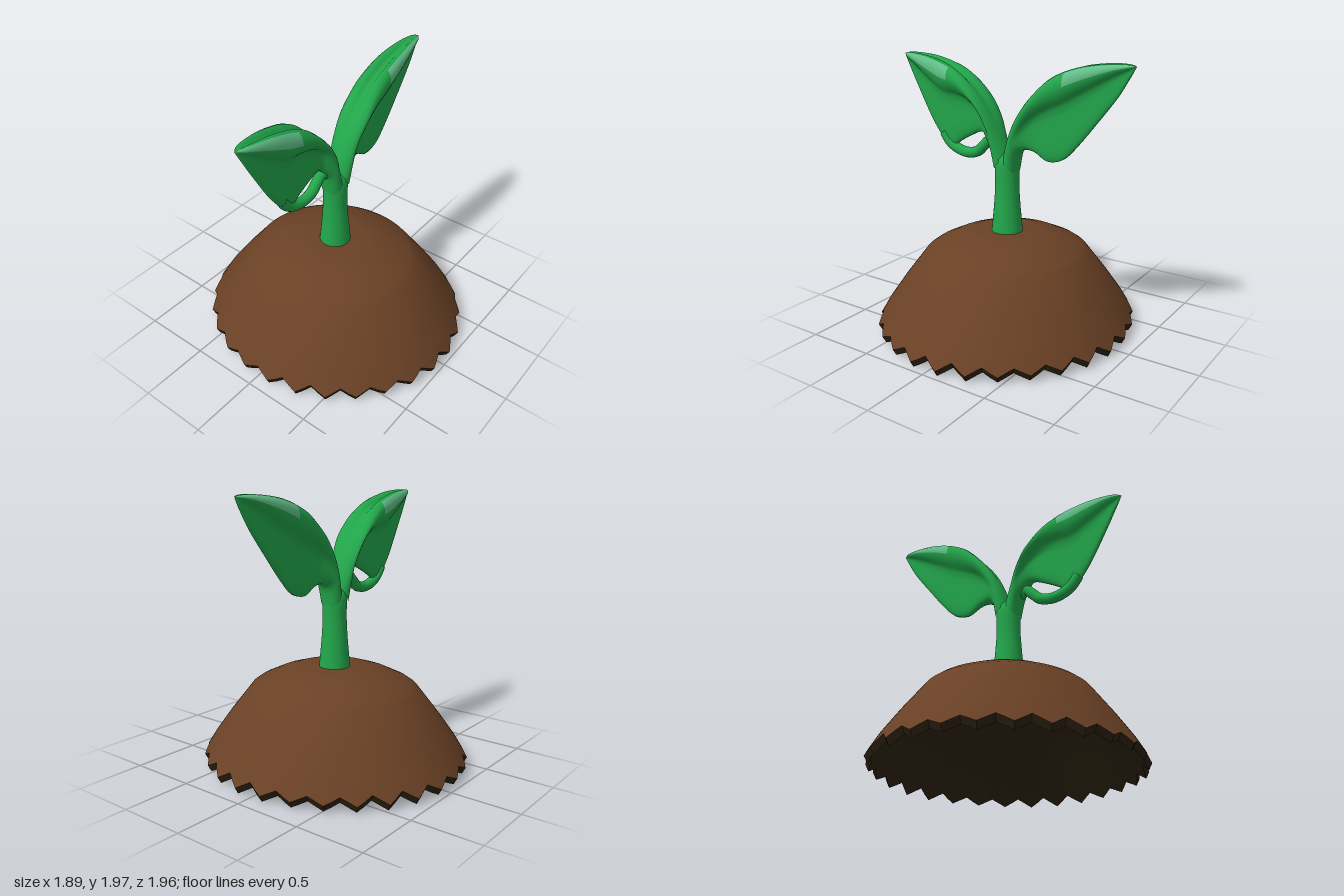
import * as THREE from 'three';
import { toCreasedNormals } from 'three/addons/utils/BufferGeometryUtils.js';

const material = (name, color, extra = {}) => new THREE.MeshStandardMaterial({ name, color, ...extra });

function part(name, geometry, mat) {
  const mesh = new THREE.Mesh(geometry, mat);
  mesh.name = name;
  return mesh;
}

// Half cross-section of a leaf: [half width, depth below the top edge].
// A grooved pair of lips above, a thin blade below.
const HALF = [[0, 0.09], [0.45, 0], [0.9, 0.06], [1, 0.17], [0.75, 0.29],
  [0.36, 0.38], [0.3, 0.6], [0.28, 0.85], [0.17, 0.98], [0, 1]];

// Closed loop of blended round / leaf sections, k = 0 round, k = 1 leaf
function section(k) {
  const half = HALF.map(([z, v], i) => {
    const a = Math.PI * i / (HALF.length - 1);
    return new THREE.Vector3(
      THREE.MathUtils.lerp(Math.sin(a), z, k),
      THREE.MathUtils.lerp((1 - Math.cos(a)) / 2, v, k), 0);
  });
  const other = half.slice(1, -1).reverse().map(p => new THREE.Vector3(-p.x, p.y, 0));
  return new THREE.CatmullRomCurve3([...half, ...other], true, 'catmullrom', 0.5);
}

// Leaf lofted between a top edge [x, y, halfWidth] and a bottom edge [x, y, k]
function leafGeometry(top, bottom, side) {
  const curve = pts => new THREE.CatmullRomCurve3(
    pts.map(p => new THREE.Vector3(...p)), false, 'catmullrom', 0.5);
  const T = curve(top), B = curve(bottom);
  const rows = 44, cols = 36, positions = [], plain = [], pale = [];
  for (let i = 0; i <= rows; i++) {
    const t = T.getPoint(i / rows), b = B.getPoint(i / rows);
    const loop = section(THREE.MathUtils.clamp(b.z, 0, 1));
    for (let j = 0; j < cols; j++) {
      const p = loop.getPoint(j / cols);
      positions.push(
        side * THREE.MathUtils.lerp(t.x, b.x, p.y),
        THREE.MathUtils.lerp(t.y, b.y, p.y),
        p.x * Math.max(t.z, 0));
    }
  }
  for (let i = 0; i < rows; i++) {
    for (let j = 0; j < cols; j++) {
      const n = (j + 1) % cols;
      const a = i * cols + j, b = a + cols, c = i * cols + n, d = c + cols;
      // The outer lips turn pale towards the tip
      const m = Math.min(j, cols - 1 - j);
      const isPale = i / rows > 0.96 || (i / rows > 0.52 && m >= 3 && m < 6);
      const list = isPale ? pale : plain;
      if (side > 0) list.push(a, c, b, b, c, d);
      else list.push(a, b, c, b, d, c);
    }
  }
  const g = new THREE.BufferGeometry();
  g.setAttribute('position', new THREE.Float32BufferAttribute(positions, 3));
  g.setIndex([...plain, ...pale]);
  g.addGroup(0, plain.length, 0);
  g.addGroup(plain.length, pale.length, 1);
  g.computeVertexNormals();
  return g;
}

// Lathe with an oval plan, whose lowest edges are cut into teeth
function moundGeometry(profile) {
  const TEETH = 28;
  const g = new THREE.LatheGeometry(profile.map(p => new THREE.Vector2(...p)), TEETH * 4);
  const pos = g.attributes.position;
  for (let i = 0; i < pos.count; i++) {
    let x = pos.getX(i), y = pos.getY(i), z = pos.getZ(i);
    if (y < 0.1) {
      const a = Math.atan2(x, z);
      const tooth = -Math.cos(TEETH * a) * (0.85 + 0.15 * Math.sin(5 * a + 1));
      const r = Math.hypot(x, z), k = (r + 0.02 * tooth) / r;
      x *= k;
      z *= k;
      y -= 0.032 * tooth;
    }
    pos.setXYZ(i, x * 0.94, y, z);
  }
  return toCreasedNormals(g, 0.45);
}

export function createModel() {
  const model = new THREE.Group();
  model.name = 'seedling';
  const green = material('leaf green', 0x22a64b);
  const pale = material('pale green', 0x62bf88);
  const soil = material('soil brown', 0x6a4125);
  const dark = material('dark soil', 0x2c2110, { side: THREE.DoubleSide });

  // Soil mound: outer skin, then the dark inside with its rim
  const mound = new THREE.Group();
  mound.name = 'mound';
  mound.position.x = -0.01;
  mound.add(
    part('moundSkin', moundGeometry([[0.97, 0.082], [0.91, 0.18], [0.79, 0.345], [0.62, 0.56],
      [0.57, 0.595], [0.43, 0.66], [0.3, 0.702], [0.22, 0.71], [0, 0.71]]), soil),
    part('moundInside', moundGeometry([[0, 0.66], [0.28, 0.65], [0.42, 0.61], [0.58, 0.52],
      [0.75, 0.3], [0.87, 0.14], [0.945, 0.036], [0.97, 0.082]]), dark));
  model.add(mound);

  // Stem, flared at the soil and closed in the fork
  const stem = part('stem', new THREE.LatheGeometry([[0.114, 0.69], [0.108, 0.76], [0.095, 0.9],
    [0.087, 1.02], [0.086, 1.12], [0.09, 1.2], [0.08, 1.25], [0.045, 1.29], [0, 1.31]]
    .map(p => new THREE.Vector2(...p)), 32), green);
  stem.position.x = -0.01;
  model.add(stem);

  // Left leaf
  const leftTop = [[-0.02, 1.27, 0.085], [0.03, 1.42, 0.1], [0.1, 1.56, 0.11], [0.2, 1.69, 0.115],
    [0.33, 1.82, 0.11], [0.45, 1.89, 0.105], [0.58, 1.935, 0.098], [0.7, 1.958, 0.083],
    [0.82, 1.97, 0.06], [0.91, 1.97, 0.035], [0.955, 1.96, 0]];
  const leftBottom = [[0.075, 1.15, 0], [0.1, 1.29, 0.1], [0.16, 1.33, 0.5], [0.23, 1.32, 0.9],
    [0.33, 1.27, 1], [0.45, 1.3, 1], [0.56, 1.41, 1], [0.69, 1.57, 1],
    [0.83, 1.75, 1], [0.91, 1.88, 0.8], [0.955, 1.96, 0.5]];
  model.add(part('leftLeaf', leafGeometry(leftTop, leftBottom, 1), [green, pale]));

  // Right leaf, its lower edge rising over the gap
  const rightTop = [[0, 1.27, 0.085], [0.06, 1.42, 0.1], [0.12, 1.54, 0.12], [0.21, 1.67, 0.125],
    [0.33, 1.79, 0.122], [0.44, 1.86, 0.115], [0.55, 1.9, 0.102], [0.68, 1.927, 0.085],
    [0.81, 1.937, 0.06], [0.89, 1.937, 0.035], [0.932, 1.925, 0]];
  const rightBottom = [[0.095, 1.15, 0], [0.12, 1.29, 0.1], [0.165, 1.37, 0.5], [0.215, 1.415, 0.9],
    [0.31, 1.38, 1], [0.42, 1.32, 1], [0.51, 1.265, 1], [0.65, 1.42, 1],
    [0.79, 1.66, 1], [0.87, 1.81, 0.8], [0.932, 1.925, 0.5]];
  model.add(part('rightLeaf', leafGeometry(rightTop, rightBottom, -1), [green, pale]));

  // Curled lower rim that closes the gap in the right leaf
  const rim = new THREE.CatmullRomCurve3([[-0.57, 1.37], [-0.52, 1.305], [-0.45, 1.262], [-0.36, 1.243],
    [-0.27, 1.262], [-0.21, 1.315], [-0.16, 1.355], [-0.1, 1.33]]
    .map(([x, y]) => new THREE.Vector3(x, y, 0)));
  model.add(part('rightLeafRim', new THREE.TubeGeometry(rim, 40, 0.039, 14), green));

  return model;
}
